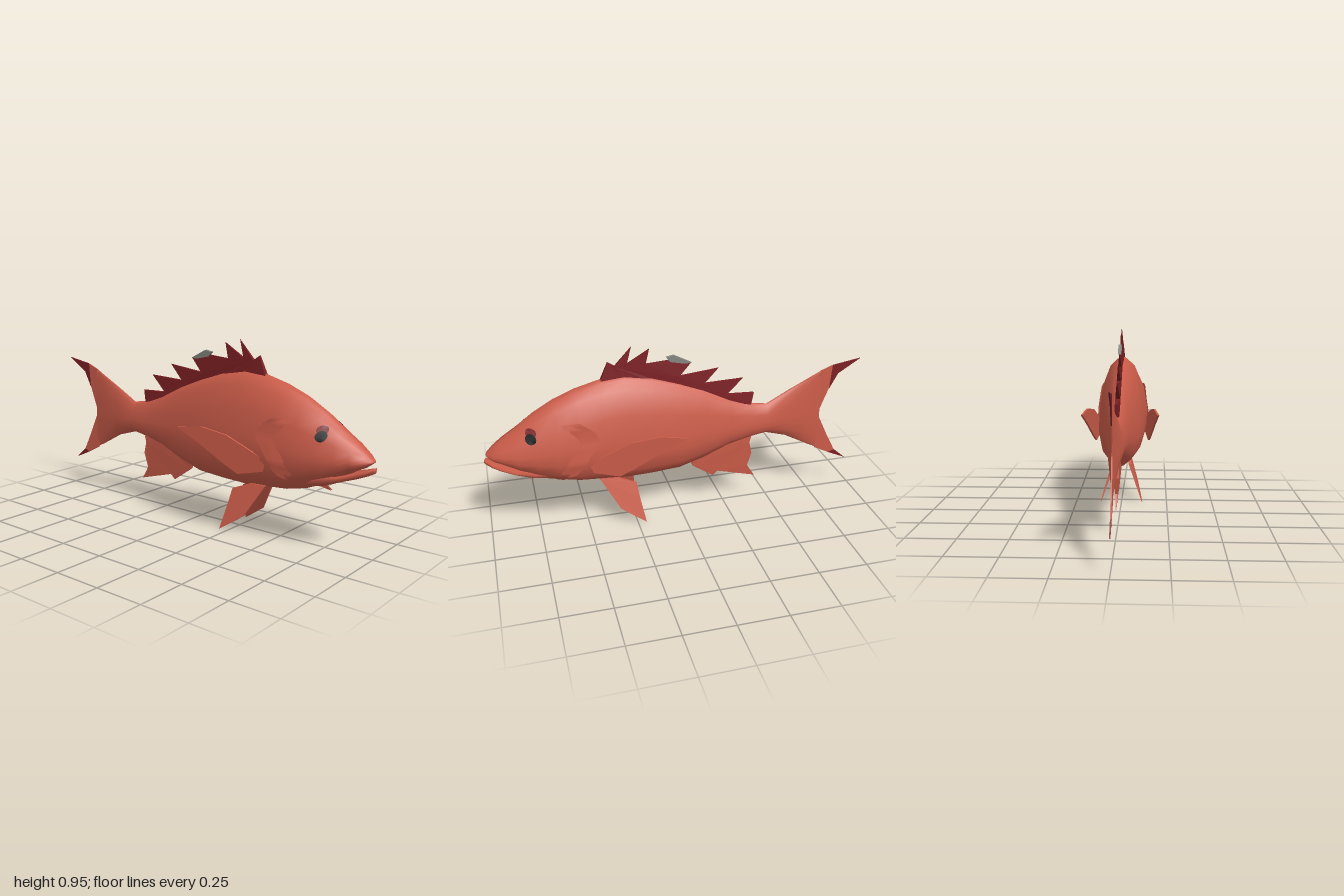
import * as THREE from 'three';
import { ParametricGeometry } from 'three/addons/geometries/ParametricGeometry.js';

const paint = (name, color) => {
  const m = new THREE.MeshStandardMaterial({ color, side: THREE.DoubleSide });
  m.name = name;
  return m;
};

// Body sections: x, top, bottom, half width
const BODY = [
  [-0.79, 0.72, 0.255, 0.004], [-0.72, 0.685, 0.29, 0.014], [-0.6, 0.625, 0.355, 0.03],
  [-0.48, 0.56, 0.39, 0.043], [-0.39, 0.575, 0.375, 0.048], [-0.27, 0.62, 0.345, 0.06],
  [-0.13, 0.69, 0.285, 0.08], [0, 0.74, 0.245, 0.103], [0.14, 0.785, 0.235, 0.12],
  [0.28, 0.81, 0.23, 0.128], [0.4, 0.8, 0.24, 0.135], [0.53, 0.765, 0.25, 0.142],
  [0.64, 0.72, 0.275, 0.137], [0.74, 0.66, 0.315, 0.124], [0.83, 0.59, 0.36, 0.107],
  [0.9, 0.54, 0.405, 0.085], [0.95, 0.5, 0.43, 0.058], [0.98, 0.47, 0.452, 0.025],
  [0.985, 0.463, 0.456, 0.002],
];
const JAW = [
  [0.66, 0.36, 0.29, 0.08], [0.76, 0.37, 0.315, 0.09], [0.85, 0.383, 0.352, 0.088],
  [0.92, 0.405, 0.376, 0.067], [0.96, 0.42, 0.392, 0.047], [0.99, 0.432, 0.408, 0.018],
  [0.997, 0.425, 0.415, 0.002],
];
// Half outlines from top to bottom: depth fraction, width fraction
const BODY_RIM = [[0, 0], [0.03, 0.18], [0.1, 0.5], [0.3, 0.83], [0.54, 0.97], [0.68, 1], [0.83, 0.87], [0.92, 0.55], [0.98, 0.2], [1, 0]];
const JAW_RIM = [[0, 0], [0.02, 0.85], [0.3, 1], [0.65, 0.85], [0.92, 0.5], [1, 0]];

function loft(sections, rim) {
  const ring = [...rim, ...rim.slice(1, -1).reverse().map(([t, w]) => [t, -w])];
  const n = ring.length, pos = [], idx = [];
  sections.forEach(([x, top, bottom, half], i) => {
    ring.forEach(([t, w], j) => {
      pos.push(x, top + (bottom - top) * t, half * w);
      if (i === sections.length - 1) return;
      const a = i * n + j, b = i * n + (j + 1) % n;
      idx.push(a, b, a + n, b, b + n, a + n);
    });
  });
  const g = new THREE.BufferGeometry();
  g.setAttribute('position', new THREE.Float32BufferAttribute(pos, 3));
  g.setIndex(idx);
  g.computeVertexNormals();
  return g;
}

// Piecewise linear lookup of column k
function lookup(table, v, k) {
  let i = 0;
  while (i < table.length - 2 && v > table[i + 1][0]) i++;
  const a = table[i], b = table[i + 1];
  const f = THREE.MathUtils.clamp((v - a[0]) / (b[0] - a[0]), 0, 1);
  return a[k] + (b[k] - a[k]) * f;
}

// Half width of the body skin at a side-view point
function skin(x, y) {
  const top = lookup(BODY, x, 1), bottom = lookup(BODY, x, 2);
  return lookup(BODY, x, 3) * lookup(BODY_RIM, (top - y) / (top - bottom), 1);
}

// Thin fin from a side-view outline, thinned and bent sideways by rules
function fin(points, depth, offset = () => 0, taper = () => 1) {
  const shape = new THREE.Shape(points.map(([x, y]) => new THREE.Vector2(x, y)));
  const g = new THREE.ExtrudeGeometry(shape, { depth, bevelEnabled: false });
  g.translate(0, 0, -depth / 2);
  const p = g.attributes.position;
  for (let i = 0; i < p.count; i++) {
    const x = p.getX(i), y = p.getY(i);
    p.setZ(i, p.getZ(i) * taper(x, y) + offset(x, y));
  }
  g.computeVertexNormals();
  return g;
}

// Round patch laid on the skin
function patch(cx, cy, rx, ry, lift, side) {
  const g = new THREE.CircleGeometry(1, 16);
  const p = g.attributes.position;
  for (let i = 0; i < p.count; i++) {
    const x = cx + p.getX(i) * rx, y = cy + p.getY(i) * ry;
    p.setXYZ(i, x, y, side * (skin(x, y) + lift));
  }
  g.computeVertexNormals();
  return g;
}

export function createModel() {
  const fish = new THREE.Group();
  fish.name = 'fish';
  const red = paint('coralRed', 0xcb5c49);
  const maroon = paint('maroon', 0x7c2024);
  const black = paint('black', 0x0b0b0b);
  const grey = paint('grey', 0x858580);
  const add = (name, geometry, material) => {
    const m = new THREE.Mesh(geometry, material);
    m.name = name;
    fish.add(m);
  };

  add('body', loft(BODY, BODY_RIM), red);
  add('lowerJaw', loft(JAW, JAW_RIM), red);

  // Tail lobes with dark tips
  add('upperTailLobe', fin([[-0.78, 0.465], [-0.78, 0.715], [-0.845, 0.74], [-0.835, 0.61]], 0.006), red);
  add('upperTailTip', fin([[-0.845, 0.74], [-1, 0.765], [-0.88, 0.69], [-0.835, 0.605]], 0.006), maroon);
  add('lowerTailLobe', fin([[-0.78, 0.465], [-0.845, 0.33], [-0.9, 0.225], [-0.865, 0.212], [-0.78, 0.255]], 0.006), red);
  add('lowerTailTip', fin([[-0.9, 0.225], [-0.97, 0.165], [-0.865, 0.212]], 0.006), maroon);

  // Spiny back fin, thick at the root and sharp at the tips
  const spines = [
    [0.4, 0.79], [0.36, 0.885], [0.325, 0.86], [0.24, 0.955], [0.265, 0.865], [0.15, 0.935],
    [0.17, 0.855], [0.05, 0.865], [-0.065, 0.84], [0, 0.77], [-0.21, 0.795], [-0.13, 0.715],
    [-0.345, 0.725], [-0.25, 0.64], [-0.405, 0.635], [-0.39, 0.57], [-0.25, 0.6], [-0.12, 0.66],
    [0.02, 0.715], [0.15, 0.765], [0.28, 0.785],
  ];
  const spineTaper = (x, y) => Math.max(0.12, 1 - Math.max(0, y - lookup(BODY, x, 1)) * 8);
  add('backFin', fin(spines, 0.026, undefined, spineTaper), maroon);
  add('backFinGreyTip', fin([[-0.065, 0.84], [0.025, 0.887], [0.065, 0.88], [0.045, 0.855], [-0.03, 0.838]], 0.016), grey);

  // Fin under the tail root
  const anal = [
    [-0.065, 0.27], [-0.075, 0.245], [-0.19, 0.165], [-0.215, 0.19], [-0.43, 0.13], [-0.385, 0.2],
    [-0.405, 0.28], [-0.39, 0.345], [-0.4, 0.38], [-0.27, 0.36],
  ];
  add('analFin', fin(anal, 0.026, undefined, (x, y) => THREE.MathUtils.clamp((y - 0.12) * 6, 0.1, 1)), red);

  const pectoral = [
    [0, 0.52], [0.14, 0.535], [0.28, 0.51], [0.43, 0.44], [0.495, 0.41], [0.475, 0.355],
    [0.345, 0.325], [0.27, 0.365], [0.13, 0.45],
  ];
  const pelvic = [
    [0.43, 0.255], [0.34, 0.25], [0.24, 0.21], [0.23, 0.135], [0.205, 0.003], [0.335, 0.09],
  ];
  const gillEdge = new THREE.CatmullRomCurve3(
    [[0.53, 0.63], [0.46, 0.58], [0.435, 0.53], [0.49, 0.45], [0.54, 0.37], [0.62, 0.31]]
      .map(([x, y]) => new THREE.Vector3(x, y, 0)));

  for (const [label, side] of [['left', -1], ['right', 1]].map(([l, s]) => [l, s])) {
    // Paired fins
    add(label + 'PectoralFin', fin(pectoral, 0.01, (x) => side * (0.128 + (0.495 - x) * 0.145)), red);
    add(label + 'PelvicFin', fin(pelvic, 0.016,
      (x, y) => side * (0.036 + (0.24 - y) * 0.33),
      (x, y) => THREE.MathUtils.clamp(y * 6, 0.3, 1)), red);

    // Gill cover, raised at its rear edge and sinking into the cheek
    add(label + 'GillCover', new ParametricGeometry((u, v, out) => {
      const p = gillEdge.getPoint(u);
      const x = p.x + v * 0.16, y = p.y - v * 0.02;
      out.set(x, y, side * (skin(x, y) + 0.01 - 0.016 * v));
    }, 14, 6), red);

    // Eye with a dark patch over it
    add(label + 'Brow', patch(0.762, 0.588, 0.026, 0.02, 0.004, side), maroon);
    add(label + 'Eye', patch(0.765, 0.562, 0.026, 0.024, 0.007, side), black);
  }
  return fish;
}
